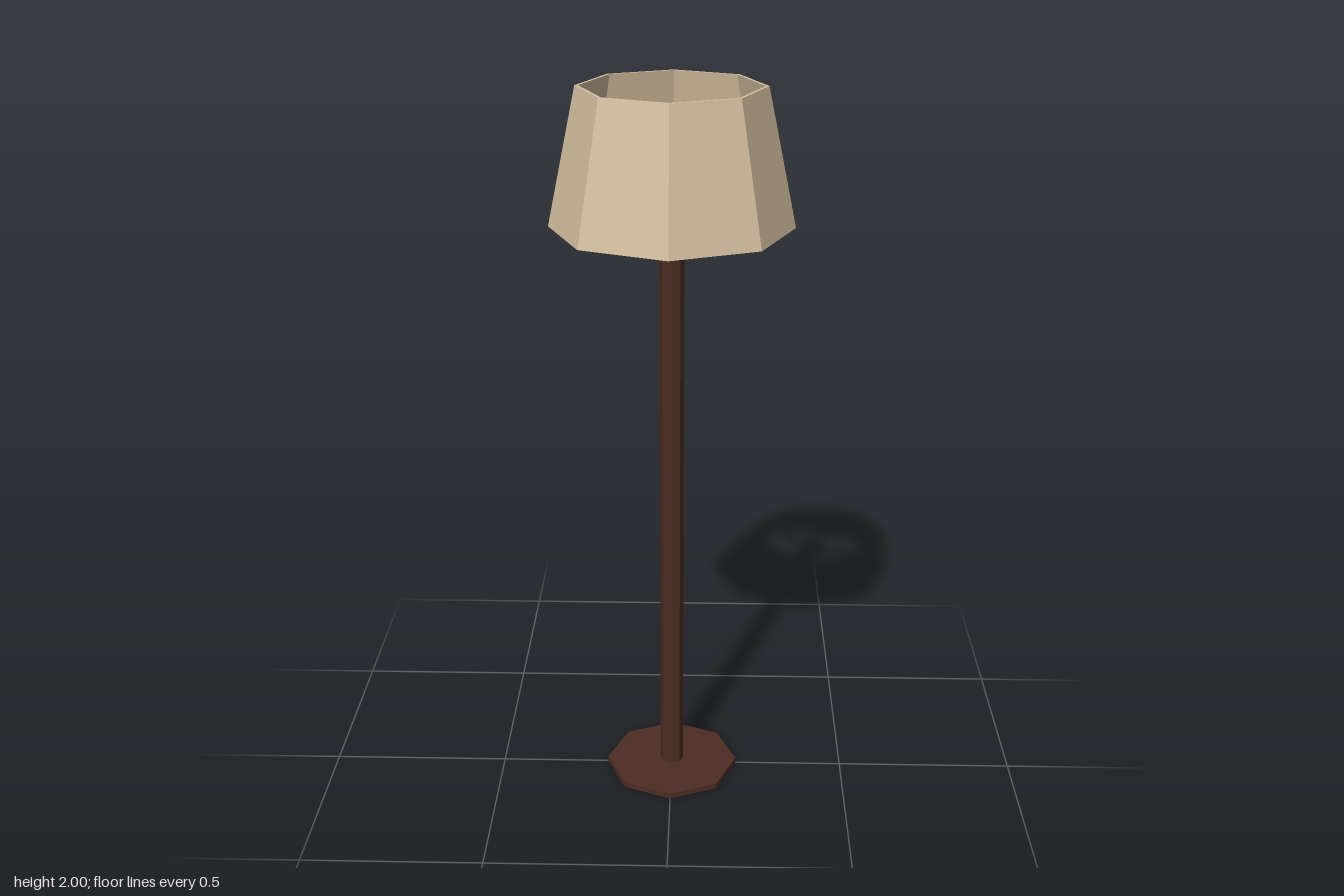
import * as THREE from 'three';

const SIDES = 8;

function flat(name, color) {
  const m = new THREE.MeshStandardMaterial({ color, flatShading: true });
  m.name = name;
  return m;
}

export function createModel() {
  const lamp = new THREE.Group();
  lamp.name = 'floorLamp';

  const wood = flat('darkWood', 0x4c2c23);
  const fabric = flat('beigeFabric', 0xd4c0a0);
  const glass = flat('paleGlass', 0xc2e0e0);

  function add(name, geometry, material, y = 0) {
    const mesh = new THREE.Mesh(geometry, material);
    mesh.name = name;
    mesh.position.y = y;
    lamp.add(mesh);
    return mesh;
  }

  // Thin octagonal foot and the long pole
  add('base', new THREE.CylinderGeometry(0.19, 0.19, 0.016, SIDES), wood, 0.008);
  add('pole', new THREE.CylinderGeometry(0.033, 0.033, 1.79, SIDES), wood, 0.905);

  // Bulb resting on the pole
  add('bulb', new THREE.SphereGeometry(0.056, SIDES, 4), glass, 1.853);

  // Tapered shade: closed wall section turned around the axis
  const wall = [
    [0.322, 1.637], [0.245, 2], [0.236, 2], [0.313, 1.637], [0.322, 1.637],
  ].map(([r, y]) => new THREE.Vector2(r, y));
  add('shade', new THREE.LatheGeometry(wall, SIDES), fabric);

  // Three rods from the pole to the shade
  const length = 0.265;
  const rod = new THREE.CylinderGeometry(0.011, 0.011, length, SIDES);
  rod.rotateZ(-Math.PI / 2).translate(length / 2, 0, 0);
  [0, 115, -115].forEach((deg, i) => {
    add('shadeRod' + (i + 1), rod, wood, 1.79).rotation.y = THREE.MathUtils.degToRad(deg);
  });

  return lamp;
}
